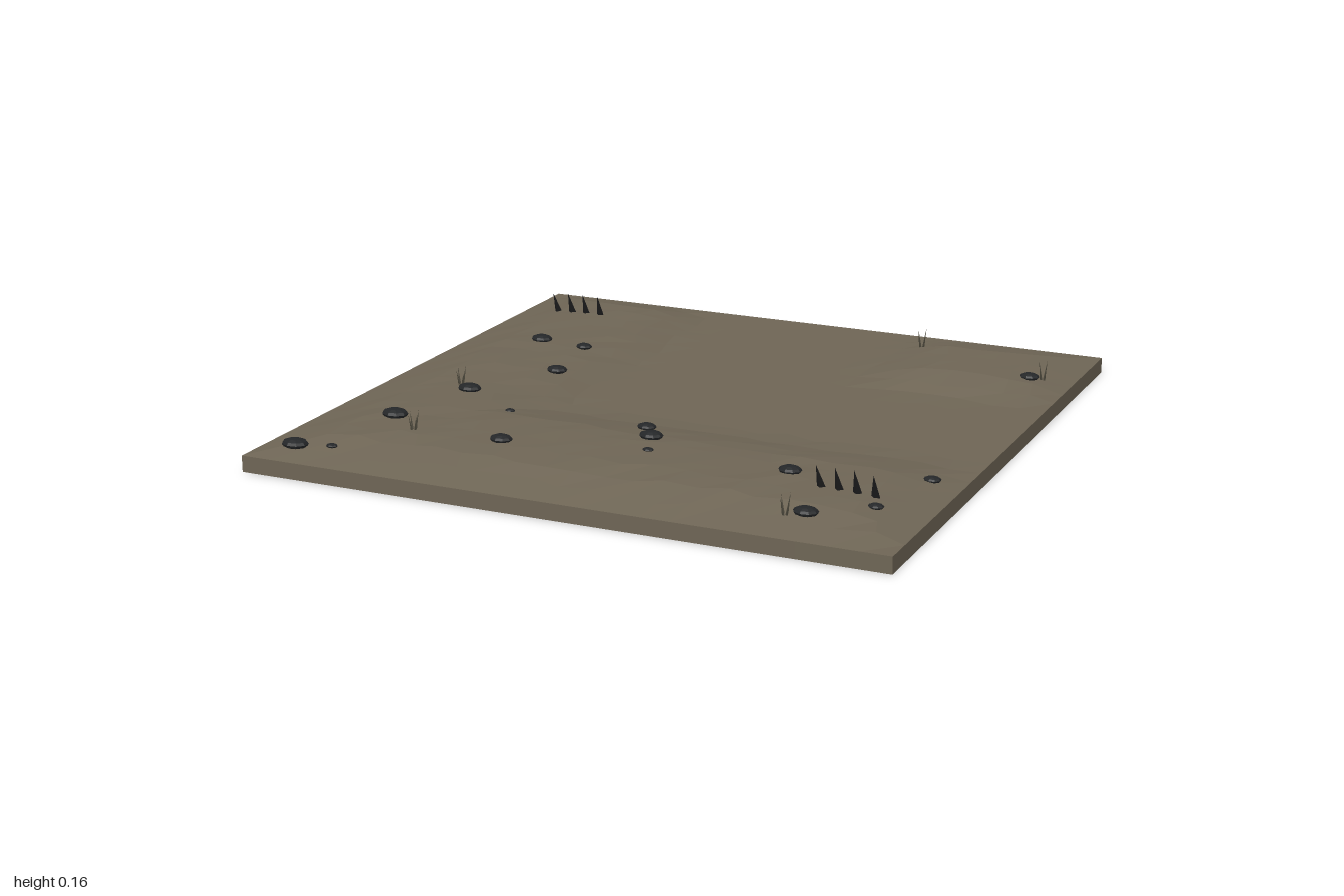
import * as THREE from 'three';

const material = (name, color) => {
  const m = new THREE.MeshStandardMaterial({ color, flatShading: true });
  m.name = name;
  return m;
};

// Repeatable noise in -1..1
const noise = (x, z) => {
  const s = Math.sin(x * 127.1 + z * 311.7) * 43758.5453;
  return 2 * (s - Math.floor(s)) - 1;
};

const { smoothstep, clamp } = THREE.MathUtils;
const BASE = 0.05;

// Ground height: plateaus on the left, the front and the back corner, with a flat track between
function ground(x, z) {
  const left = 1 - smoothstep(x, -0.55, -0.33);
  const front = smoothstep(z, 0.2, 0.5);
  const corner = smoothstep(x, 0.3, 0.58) * (1 - smoothstep(z, -0.54, -0.36));
  const rise = Math.max(left * 0.043, front * (0.047 - 0.008 * Math.abs(x)), corner * 0.04);
  const edge = clamp((1 - Math.max(Math.abs(x), Math.abs(z))) / 0.2, 0, 1);
  return BASE + rise * edge;
}

function createTerrain(mat) {
  const n = 22;
  const geo = new THREE.BoxGeometry(2, BASE, 2, n, 1, n);
  geo.translate(0, BASE / 2, 0);
  const p = geo.attributes.position;
  for (let i = 0; i < p.count; i++) {
    if (p.getY(i) < BASE / 2) continue;
    let x = p.getX(i), z = p.getZ(i);
    if (Math.max(Math.abs(x), Math.abs(z)) > 0.999) continue;
    const gx = Math.round(x * n / 2), gz = Math.round(z * n / 2);
    x += 0.02 * noise(gx, gz);
    z += 0.02 * noise(gx + 40, gz);
    const y = ground(x, z);
    p.setXYZ(i, x, y + (y - BASE) * 0.07 * noise(gx, gz + 40), z);
  }
  const flat = geo.toNonIndexed();
  flat.computeVertexNormals();
  const mesh = new THREE.Mesh(flat, mat);
  mesh.name = 'terrain';
  return mesh;
}

export function createModel() {
  const root = new THREE.Group();
  root.name = 'wastelandTile';
  const soil = material('dry soil', 0x6e6555);
  const stone = material('dark stone', 0x242628);
  const iron = material('black spike', 0x1b1b1c);
  const straw = material('dead grass', 0x4c483c);

  root.add(createTerrain(soil));

  // Flattened stones: x, z, radius
  const stones = [
    [-0.70, -0.30, 0.036], [-0.535, -0.28, 0.027], [-0.50, -0.02, 0.034], [-0.645, 0.285, 0.038],
    [-0.445, 0.395, 0.016], [-0.72, 0.605, 0.042], [-0.315, 0.69, 0.035], [-0.875, 0.91, 0.042],
    [-0.765, 0.887, 0.018], [-0.005, 0.362, 0.03], [0.07, 0.49, 0.037], [0.113, 0.603, 0.017],
    [0.55, 0.60, 0.035], [0.703, 0.863, 0.037], [0.858, 0.743, 0.023], [0.912, 0.438, 0.026],
    [0.875, -0.60, 0.032],
  ];
  const stoneGeo = new THREE.SphereGeometry(1, 9, 6);
  for (const [x, z, r] of stones) {
    const m = new THREE.Mesh(stoneGeo, stone);
    m.name = 'stone';
    m.scale.set(r, r * 0.38, r * 0.78);
    m.position.set(x, ground(x, z) + r * 0.2, z);
    root.add(m);
  }

  // Two rows of leaning spikes
  const spikeGeo = new THREE.ConeGeometry(0.015, 0.085, 4);
  spikeGeo.translate(0, 0.03, 0);
  for (const [x0, z] of [[-0.828, -0.668], [0.672, 0.674]]) {
    const row = new THREE.Group();
    row.name = 'spikeRow';
    for (let i = 0; i < 4; i++) {
      const x = x0 + i * 0.053;
      const m = new THREE.Mesh(spikeGeo, iron);
      m.name = 'spike';
      m.position.set(x, ground(x, z), z);
      m.rotation.set(0.33, 0, 0.1 - i * 0.04);
      row.add(m);
    }
    root.add(row);
  }

  // Sparse tufts of dead grass
  const bladeGeo = new THREE.ConeGeometry(0.004, 0.06, 4);
  bladeGeo.translate(0, 0.025, 0);
  for (const [x, z] of [[-0.6, 0.7], [-0.7, 0.24], [0.65, 0.88], [0.435, -0.83], [0.91, -0.63]]) {
    const tuft = new THREE.Group();
    tuft.name = 'grassTuft';
    tuft.position.set(x, ground(x, z), z);
    for (let i = 0; i < 4; i++) {
      const a = i * Math.PI / 2 + 0.5;
      const m = new THREE.Mesh(bladeGeo, straw);
      m.name = 'blade';
      m.position.set(0.007 * Math.cos(a), 0, 0.007 * Math.sin(a));
      m.rotation.set(0.2 * Math.sin(a), 0, -0.2 * Math.cos(a));
      m.scale.y = 0.8 + 0.1 * i;
      tuft.add(m);
    }
    root.add(tuft);
  }
  return root;
}
